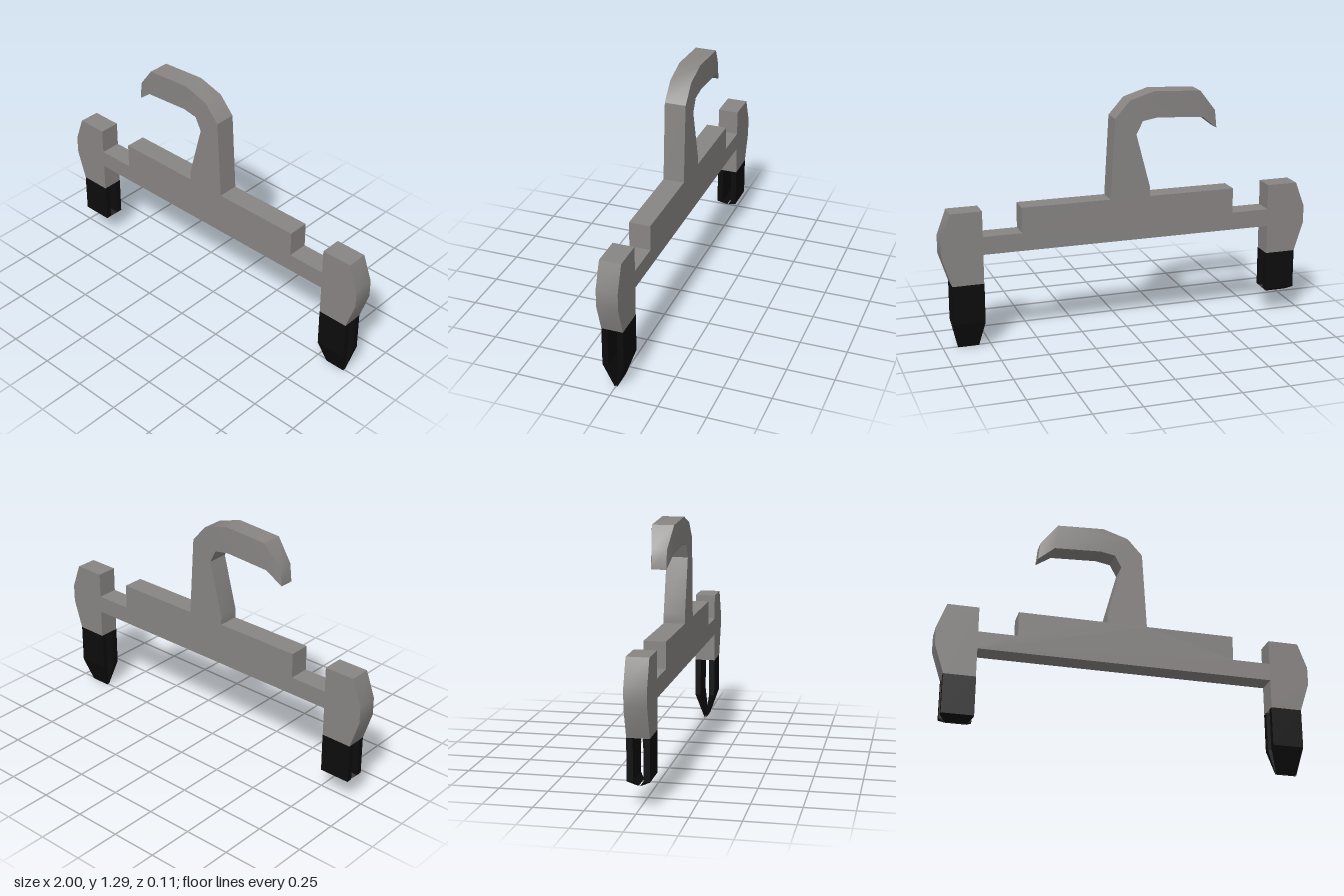
import * as THREE from 'three';
import { toCreasedNormals } from 'three/addons/utils/BufferGeometryUtils.js';

const DEPTH = 0.112;
const bodyMaterial = new THREE.MeshStandardMaterial({ color: 0x888583 });
const gripMaterial = new THREE.MeshStandardMaterial({ color: 0x0c0c0c });

// Flat plate cut from an outline and centred on z = 0
function plate(name, points) {
  const shape = new THREE.Shape(points.map(([x, y]) => new THREE.Vector2(x, y)));
  const geometry = new THREE.ExtrudeGeometry(shape, { depth: DEPTH, bevelEnabled: false });
  geometry.translate(0, 0, -DEPTH / 2);
  // The free end of the hook narrows in depth
  const p = geometry.attributes.position;
  if (name === 'hangerBar') {
    for (let i = 0; i < p.count; i++) {
      if (p.getX(i) < -0.45 && p.getY(i) > 1) p.setZ(i, p.getZ(i) * 0.68);
    }
  }
  const mesh = new THREE.Mesh(toCreasedNormals(geometry, THREE.MathUtils.degToRad(35)), bodyMaterial);
  mesh.name = name;
  return mesh;
}

// One prong: straight upper part, lower part tapering to a thin tip
function prongGeometry(tipY) {
  const rows = [
    { y: tipY, half: 0.055, inner: 0.003, outer: 0.008 },
    { y: 0.14, half: 0.083, inner: 0.025, outer: 0.056 },
    { y: 0.35, half: 0.083, inner: 0.025, outer: 0.056 },
  ];
  const geometry = new THREE.BoxGeometry(1, 1, 1, 1, 2, 1).toNonIndexed();
  const p = geometry.attributes.position;
  for (let i = 0; i < p.count; i++) {
    const row = rows[Math.round((p.getY(i) + 0.5) * 2)];
    p.setXYZ(i, Math.sign(p.getX(i)) * row.half, row.y, p.getZ(i) > 0 ? row.outer : row.inner);
  }
  geometry.computeVertexNormals();
  return geometry;
}

export function createModel() {
  const model = new THREE.Group();
  model.name = 'clipHanger';

  // Stepped bar with the hook rising from its middle
  const bar = [
    [-0.785, 0.505], [0.785, 0.505], [0.785, 0.6], [0.58, 0.6], [0.58, 0.735], [0.105, 0.735],
  ];
  const hook = [
    [0.08, 1.16], [0, 1.25], [-0.135, 1.292], [-0.385, 1.277], [-0.475, 1.165], [-0.485, 1.07],
    [-0.4, 1.137], [-0.15, 1.152], [-0.07, 1.138], [-0.035, 1.07], [-0.11, 0.785],
  ];
  const barLeft = [[-0.11, 0.735], [-0.58, 0.735], [-0.58, 0.6], [-0.785, 0.6]];
  model.add(plate('hangerBar', [...bar, ...hook, ...barLeft]));

  // End blocks, each with a front and a back prong
  const block = [[0.785, 0.35], [0.95, 0.35], [1, 0.505], [1, 0.6], [0.95, 0.735], [0.785, 0.735]];
  for (const [side, sign, tipY] of [['left', 1, 0], ['right', -1, 0.113]]) {
    const clip = new THREE.Group();
    clip.name = `${side}Clip`;
    clip.add(plate(`${side}ClipBlock`, block.map(([x, y]) => [x * sign, y])));
    const geometry = prongGeometry(tipY);
    for (const [end, turn] of [['Front', 0], ['Back', Math.PI]]) {
      const prong = new THREE.Mesh(geometry, gripMaterial);
      prong.name = `${side}${end}Prong`;
      prong.position.x = sign * 0.867;
      prong.rotation.y = turn;
      clip.add(prong);
    }
    model.add(clip);
  }
  return model;
}
